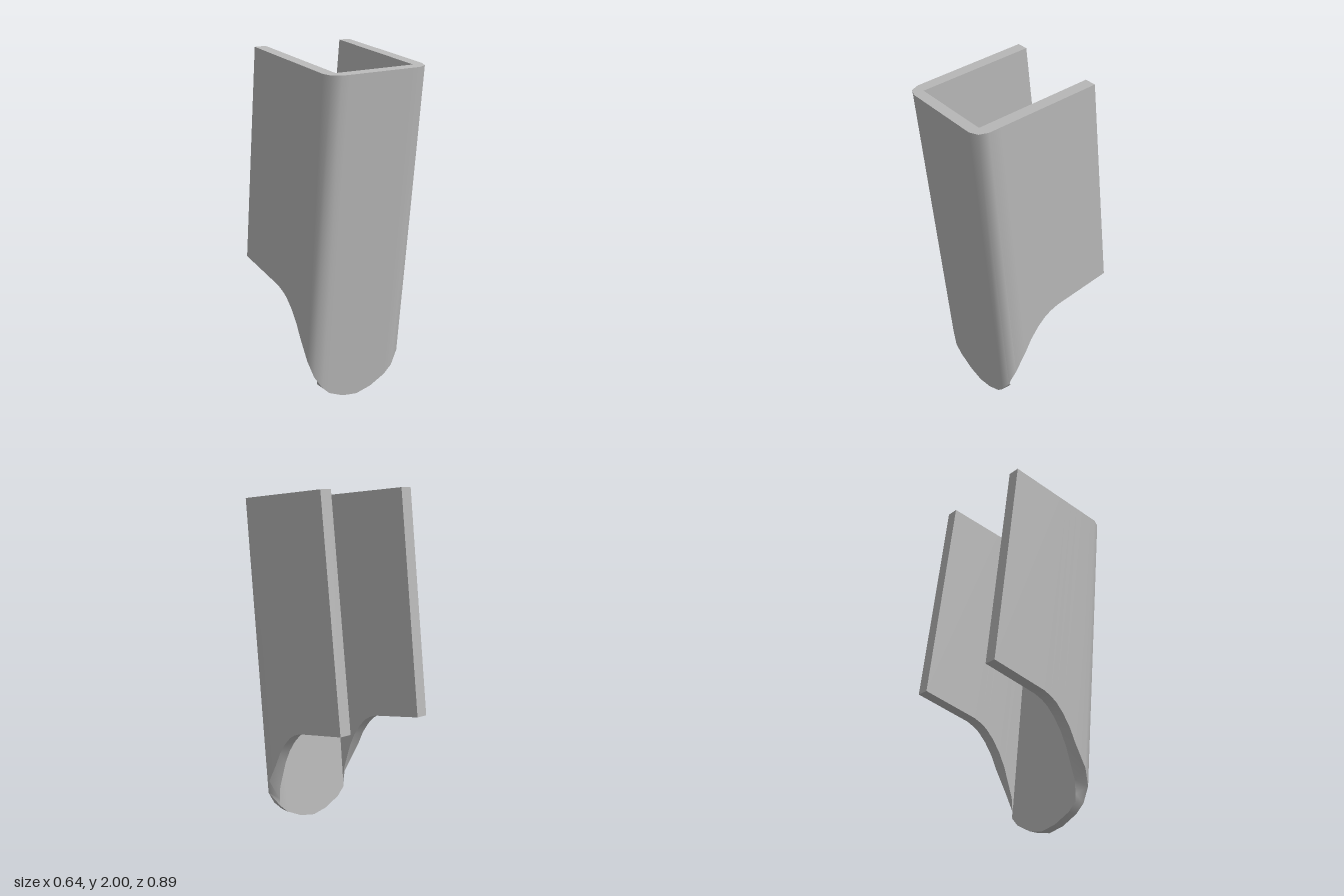
import * as THREE from 'three';
import { toCreasedNormals } from 'three/addons/utils/BufferGeometryUtils.js';

// Sloping top cut
const topY = (z) => 1.93 + (0.443 - z) * 0.0968;
const topPoint = (x, z) => [x, topY(z), z];

// One column of the wall: bottom and top points on the outer and inner skins
function column(xo, zoBot, yoBot, zoTop, xi, ziBot, yiBot, ziTop) {
  return {
    ob: [xo, yoBot, zoBot], ot: topPoint(xo, zoTop),
    ib: [xi, yiBot, ziBot], it: topPoint(xi, ziTop),
  };
}

// Columns from the centre of the front round to the rear edge of the left side
function halfColumns() {
  const cols = [];
  // front plate with rounded tip
  for (const [x, y] of [[0, 0], [0.1, 0.02], [0.2, 0.07], [0.25, 0.12]]) {
    cols.push(column(x, 0.25 + 0.1 * y, y, 0.443, x, 0.19 + 0.1 * y, y, 0.384));
  }
  // bevelled corner
  cols.push(column(0.3, 0.249, 0.2, 0.422, 0.25, 0.204, 0.16, 0.38));
  cols.push(column(0.32, 0.211, 0.29, 0.375, 0.25, 0.198, 0.24, 0.375));
  // side plate with scooped lower edge
  const scoop = [[0.14, 0.41], [0.1, 0.49], [0.05, 0.56], [0, 0.61],
    [-0.04, 0.635], [-0.09, 0.655], [-0.443, 0.725]];
  for (const [z, y] of scoop) {
    const zTop = 0.375 - 0.655 * (0.211 - z) / 0.654;
    cols.push(column(0.32, z, y, zTop, 0.25, z, y, zTop));
  }
  return cols;
}

const flip = ([x, y, z]) => [-x, y, z];
const mirror = (c) => ({ ob: flip(c.ob), ot: flip(c.ot), ib: flip(c.ib), it: flip(c.it) });

export function createModel() {
  const grey = new THREE.MeshStandardMaterial({ color: 0xb8b8b8 });
  grey.name = 'plain grey';

  const half = halfColumns();
  const cols = [...half.slice(1).reverse().map(mirror), ...half];
  const pos = [];
  const quad = (a, b, c, d) => pos.push(...a, ...b, ...c, ...a, ...c, ...d);

  for (let i = 0; i < cols.length - 1; i++) {
    const a = cols[i], b = cols[i + 1];
    quad(a.ob, b.ob, b.ot, a.ot); // outer skin
    quad(b.ib, a.ib, a.it, b.it); // inner skin
    quad(a.ot, b.ot, b.it, a.it); // top rim
    quad(b.ob, a.ob, a.ib, b.ib); // lower rim
  }
  // rear edges
  const first = cols[0], last = cols[cols.length - 1];
  quad(last.ob, last.ib, last.it, last.ot);
  quad(first.ib, first.ob, first.ot, first.it);

  const geo = new THREE.BufferGeometry();
  geo.setAttribute('position', new THREE.Float32BufferAttribute(pos, 3));
  const mesh = new THREE.Mesh(toCreasedNormals(geo, 0.9), grey);
  mesh.name = 'channelShell';

  const group = new THREE.Group();
  group.name = 'taperedChannel';
  group.add(mesh);
  return group;
}
